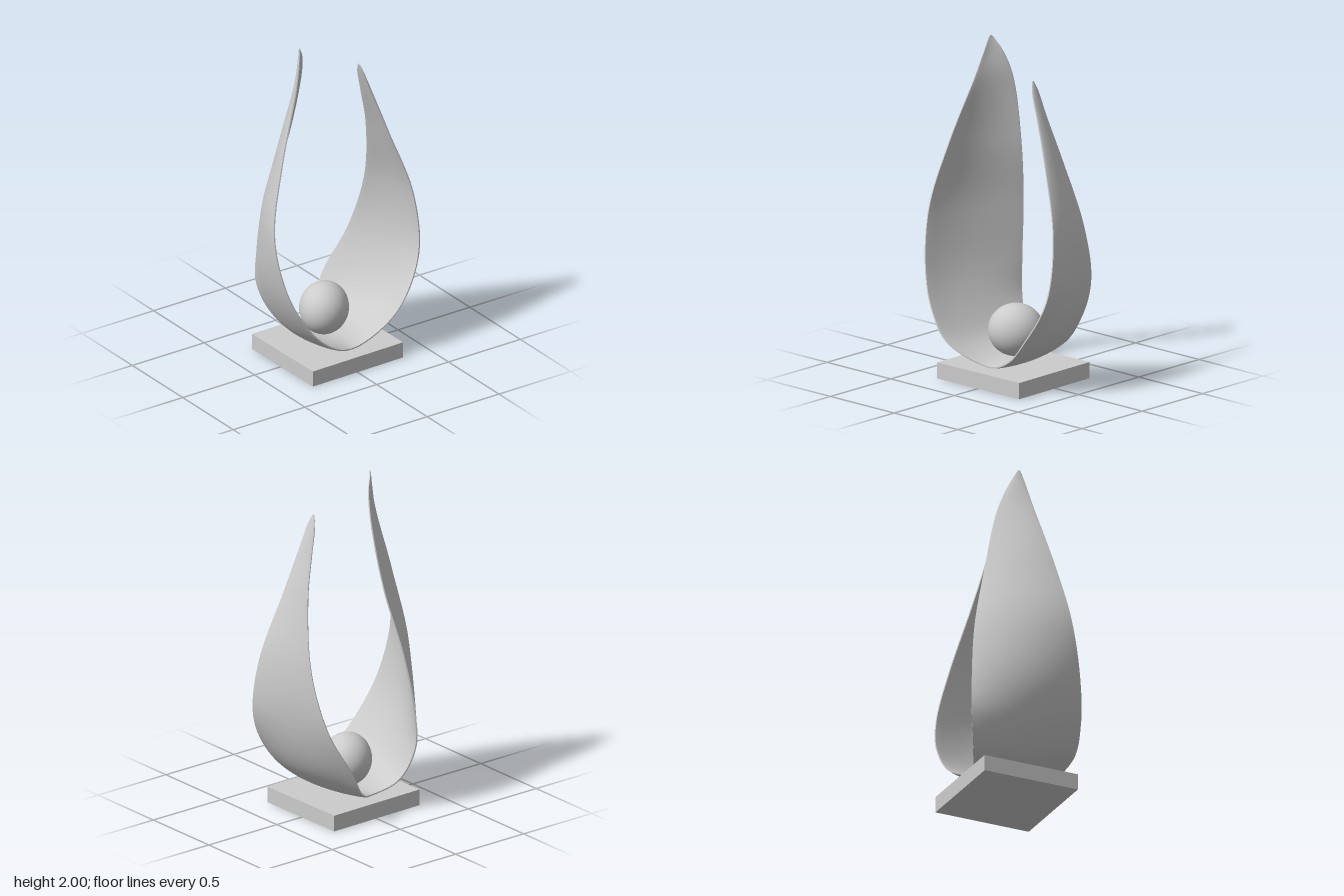
import * as THREE from 'three';
import { toCreasedNormals } from 'three/addons/utils/BufferGeometryUtils.js';

const curve = (pts) => new THREE.CatmullRomCurve3(pts.map((p) => new THREE.Vector3(...p)));

// Guide curves of the twin-leaf band: left tip, down through the waist, up to the right tip
const frontEdge = curve([
  [-0.192, 1.988, 0.01], [-0.212, 1.9, 0.032], [-0.255, 1.75, 0.06], [-0.395, 1.35, 0.125],
  [-0.494, 0.95, 0.19], [-0.455, 0.61, 0.26], [-0.355, 0.39, 0.31], [-0.22, 0.235, 0.328],
  [0.02, 0.117, 0.238], [0.18, 0.175, 0.25], [0.325, 0.315, 0.277], [0.475, 0.59, 0.24],
  [0.476, 0.95, 0.185], [0.35, 1.35, 0.12], [0.262, 1.6, 0.09], [0.208, 1.75, 0.075],
  [0.191, 1.8, 0.058],
]);
const middle = curve([
  [-0.187, 1.997, 0], [-0.185, 1.905, -0.01], [-0.195, 1.77, -0.02], [-0.295, 1.35, -0.06],
  [-0.395, 0.95, -0.07], [-0.405, 0.6, -0.045], [-0.33, 0.35, -0.01], [-0.2, 0.18, 0],
  [0, 0.121, 0], [0.175, 0.165, 0], [0.33, 0.315, -0.015], [0.435, 0.6, -0.02],
  [0.445, 0.95, 0], [0.345, 1.35, 0.04], [0.258, 1.6, 0.045], [0.206, 1.755, 0.047],
  [0.19, 1.807, 0.05],
]);
const backEdge = curve([
  [-0.18, 1.988, -0.01], [-0.137, 1.905, -0.046], [-0.108, 1.75, -0.1], [-0.13, 1.35, -0.19],
  [-0.2, 0.95, -0.285], [-0.25, 0.6, -0.326], [-0.253, 0.38, -0.328], [-0.17, 0.19, -0.28],
  [-0.02, 0.122, -0.225], [0.11, 0.175, -0.295], [0.21, 0.335, -0.328], [0.34, 0.6, -0.27],
  [0.38, 0.95, -0.165], [0.315, 1.35, -0.055], [0.243, 1.6, -0.003], [0.201, 1.75, 0.022],
  [0.19, 1.8, 0.042],
]);

// Centre surface: a parabola across the band through the three guide curves
function surface(u, v) {
  const f = frontEdge.getPoint(u), m = middle.getPoint(u), b = backEdge.getPoint(u);
  return f.multiplyScalar((1 - v) * (1 - 2 * v))
    .addScaledVector(m, 4 * v * (1 - v))
    .addScaledVector(b, v * (2 * v - 1));
}

// Half thickness: thin at the long edges and the tips, thicker under the ball
function halfThickness(u, v) {
  const across = 4 * v * (1 - v);
  const tip = 0.35 + 0.65 * Math.min(1, 8 * u, 8 * (1 - u));
  const seat = 0.012 * across * Math.exp(-(((u - 0.5) / 0.05) ** 2));
  return (0.004 + 0.005 * Math.sqrt(across)) * tip + seat;
}

// Thin closed shell around the centre surface
function bandGeometry(rows, cols) {
  const positions = [], index = [], ring = 2 * (cols + 1), e = 1e-3;
  for (let i = 0; i <= rows; i++) {
    const u = i / rows, inner = [], outer = [];
    const u0 = Math.max(0, u - e), u1 = Math.min(1, u + e);
    for (let j = 0; j <= cols; j++) {
      const v = j / cols, p = surface(u, v);
      const du = surface(u1, v).sub(surface(u0, v));
      const dv = surface(u, v + e).sub(surface(u, v - e));
      const n = du.cross(dv).normalize();
      const half = halfThickness(u, v);
      inner.push(p.clone().addScaledVector(n, half));
      outer.unshift(p.clone().addScaledVector(n, -half));
    }
    for (const p of [...inner, ...outer]) positions.push(p.x, p.y, p.z);
  }
  const quad = (a, b, c, d) => index.push(a, b, c, a, c, d);
  for (let i = 0; i < rows; i++) {
    for (let j = 0; j < ring; j++) {
      const k = (j + 1) % ring, r = i * ring, s = r + ring;
      quad(r + j, s + j, s + k, r + k);
    }
  }
  // Caps at the two tips
  const last = rows * ring;
  for (let j = 0; j < cols; j++) {
    quad(j, j + 1, ring - 2 - j, ring - 1 - j);
    quad(last + ring - 1 - j, last + ring - 2 - j, last + j + 1, last + j);
  }
  const g = new THREE.BufferGeometry();
  g.setAttribute('position', new THREE.Float32BufferAttribute(positions, 3));
  g.setIndex(index);
  return toCreasedNormals(g, Math.PI / 4);
}

export function createModel() {
  const group = new THREE.Group();
  const material = new THREE.MeshStandardMaterial({ color: 0xcccccc });
  const add = (name, geometry, x, y, z) => {
    const mesh = new THREE.Mesh(geometry, material);
    mesh.name = name;
    mesh.position.set(x, y, z);
    group.add(mesh);
    return mesh;
  };

  // Square plinth, turned very slightly
  add('base', new THREE.BoxGeometry(0.635, 0.096, 0.592), 0, 0.048, 0.012).rotation.y = 0.015;

  // Two upright leaves joined in one curved band
  add('leafBand', bandGeometry(160, 24), 0, 0, 0);

  // Slightly oval ball resting in the bowl, its long axis turned diagonally
  const ball = add('ball', new THREE.SphereGeometry(1, 48, 32), -0.005, 0.284, -0.015);
  ball.scale.set(0.16, 0.154, 0.142);
  ball.rotation.y = Math.PI / 4;

  return group;
}
